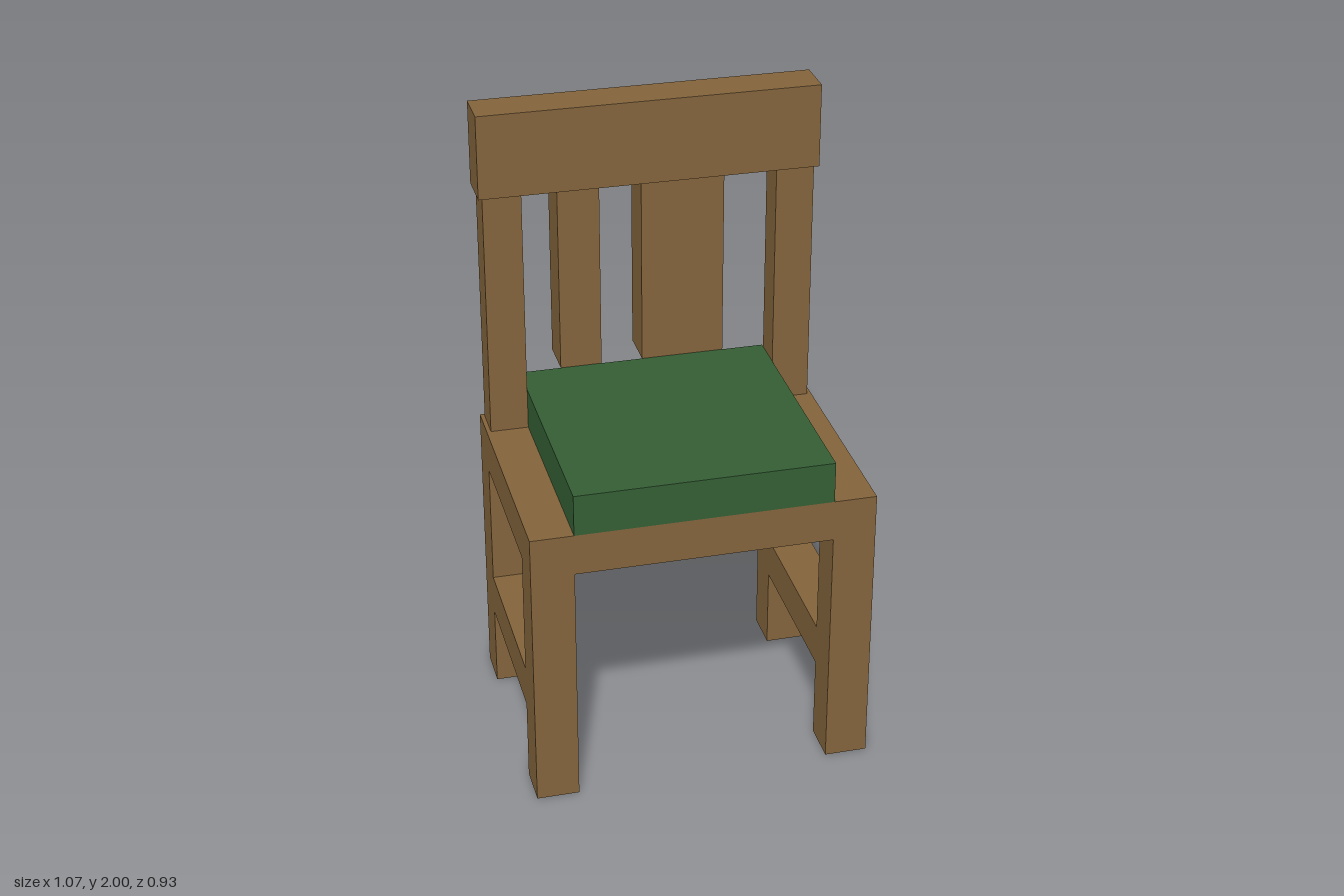
import * as THREE from 'three';

export function createModel() {
  const model = new THREE.Group();
  model.name = 'chair';

  const wood = new THREE.MeshStandardMaterial({ color: 0x82633b });
  wood.name = 'brown wood';
  const fabric = new THREE.MeshStandardMaterial({ color: 0x345d34 });
  fabric.name = 'green fabric';

  const U = 2 / 15; // timber thickness

  // box given by its extents along x, y and z
  function box(name, material, [x0, x1], [y0, y1], [z0, z1]) {
    const mesh = new THREE.Mesh(new THREE.BoxGeometry(x1 - x0, y1 - y0, z1 - z0), material);
    mesh.position.set((x0 + x1) / 2, (y0 + y1) / 2, (z0 + z1) / 2);
    mesh.name = name;
    model.add(mesh);
  }

  const front = 3.5 * U, back = -2.5 * U;

  // seat and cushion
  box('seat', wood, [-4 * U, 4 * U], [6 * U, 7 * U], [back, front]);
  box('cushion', fabric, [-3 * U, 3 * U], [7 * U, 8 * U], [back, front]);

  // legs, side stretchers and back posts, mirrored left and right
  for (const [side, s] of [['left', 1], ['right', -1]]) {
    const span = (a, b) => (s > 0 ? [a, b] : [-b, -a]);
    const legX = span(3 * U, 4 * U);
    box(side + 'FrontLeg', wood, legX, [0, 6 * U], [front - U, front]);
    box(side + 'BackLeg', wood, legX, [0, 6 * U], [back, back + U]);
    box(side + 'Stretcher', wood, legX, [2 * U, 3 * U], [back + U, front - U]);
    box(side + 'BackPost', wood, span(3 * U, 0.52), [7 * U, 13 * U], [-0.32, -0.213]);
  }

  // top rail
  box('topRail', wood, [-4 * U, 4 * U], [13 * U, 15 * U], [back, back + U]);

  // narrow and wide slats set behind the rail
  box('narrowSlat', wood, [-2 * U, -U], [8 * U, 13 * U], [back - U, back]);
  box('wideSlat', wood, [0, 2 * U], [8 * U, 13 * U], [back - U, back]);

  return model;
}
